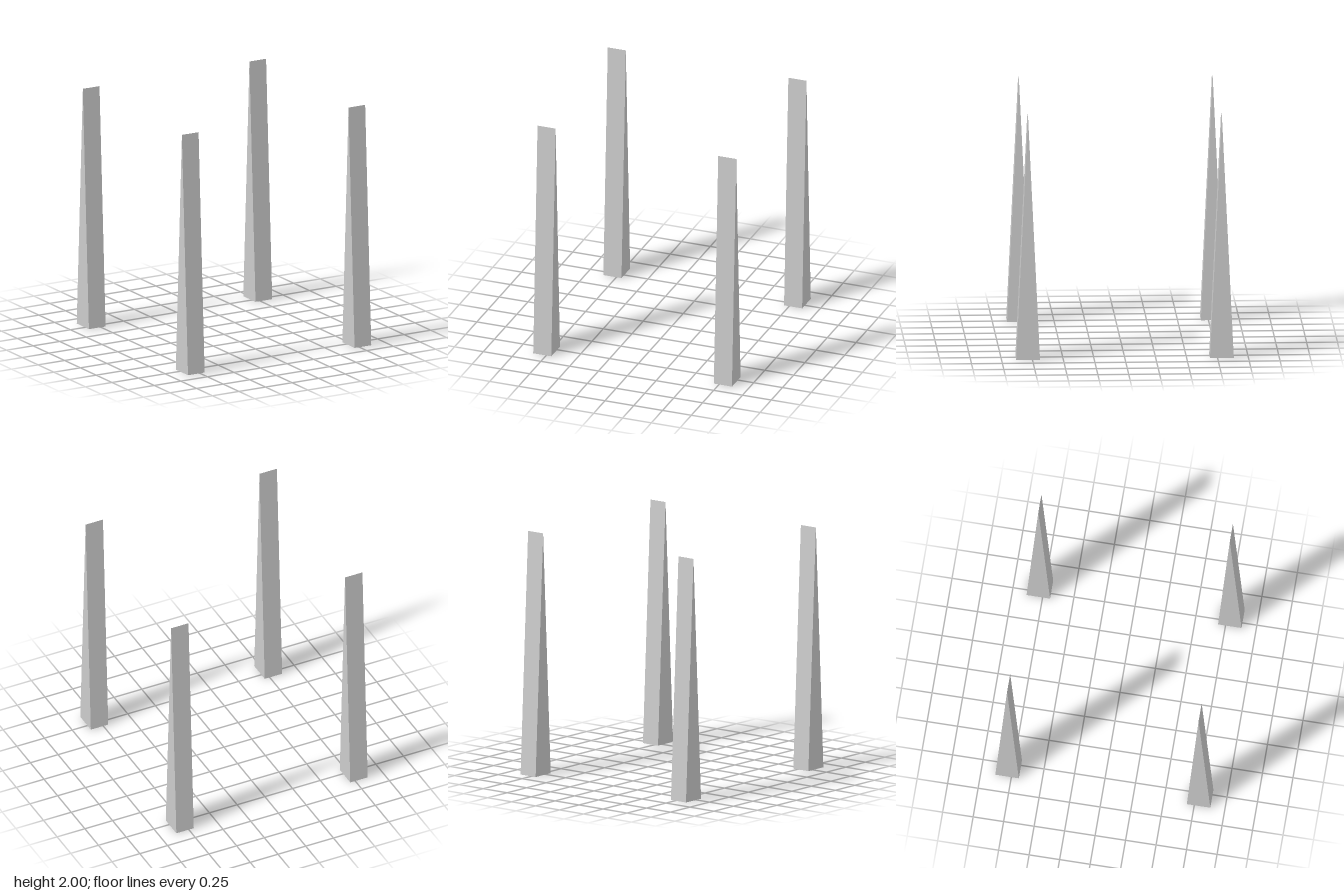
import * as THREE from 'three';

export function createModel() {
  const model = new THREE.Group();
  const material = new THREE.MeshStandardMaterial({ color: 0xcccccc, flatShading: true });

  const height = 2, width = 0.157, depth = 0.193;
  const offsetX = 0.784, offsetZ = 0.785;

  // Tall triangular wedge: profile in depth and height, extruded along x
  const profile = new THREE.Shape([
    new THREE.Vector2(-depth / 2, 0),
    new THREE.Vector2(depth / 2, 0),
    new THREE.Vector2(0, height),
  ]);
  const wedge = new THREE.ExtrudeGeometry(profile, { depth: width, bevelEnabled: false });
  wedge.translate(0, 0, -width / 2);
  wedge.rotateY(Math.PI / 2);

  // One leg at each corner
  for (const [zName, sz] of [['front', 1], ['back', -1]]) {
    for (const [xName, sx] of [['Left', 1], ['Right', -1]]) {
      const leg = new THREE.Mesh(wedge, material);
      leg.name = `${zName}${xName}Leg`;
      leg.position.set(sx * offsetX, 0, sz * offsetZ);
      model.add(leg);
    }
  }
  return model;
}
